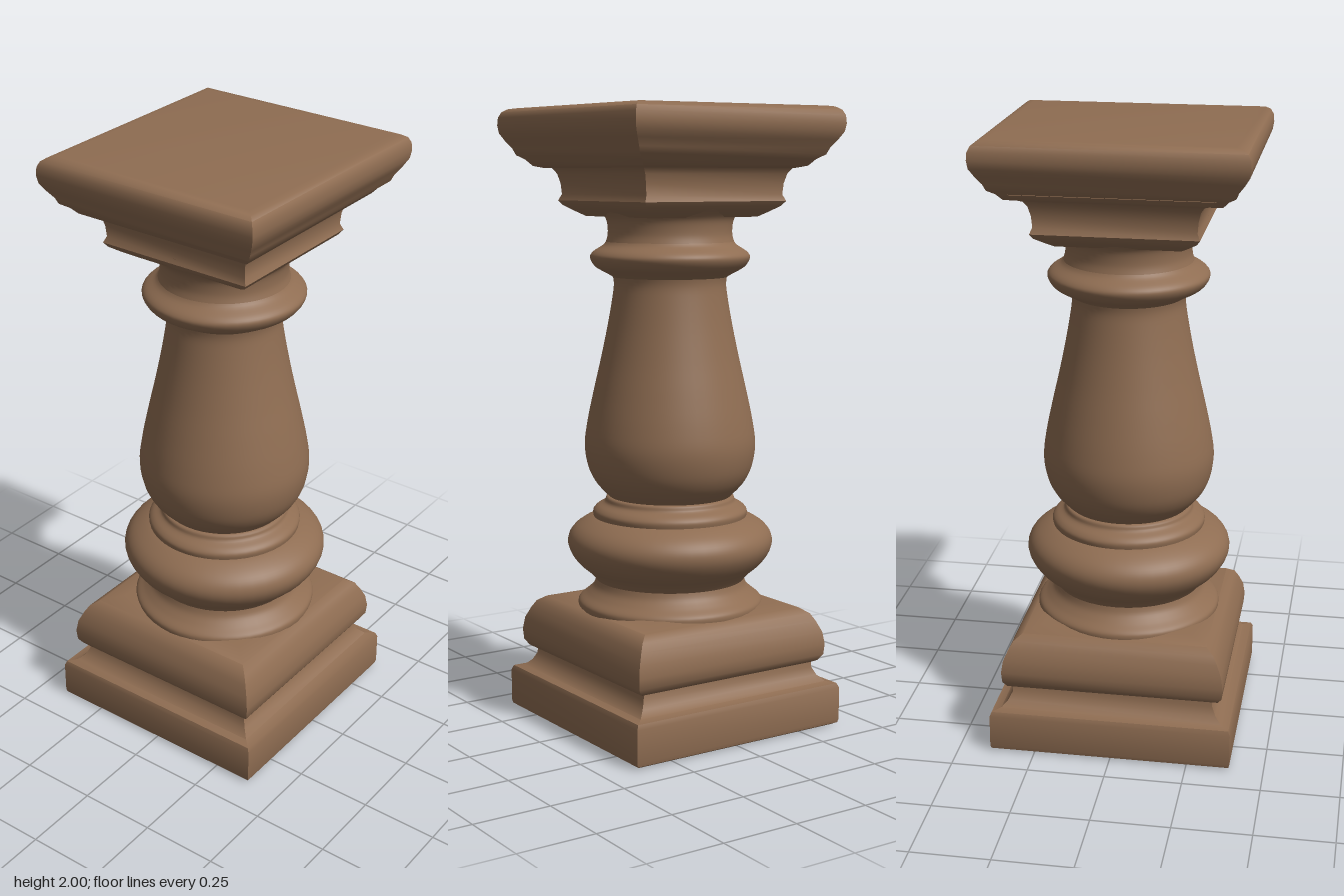
import * as THREE from 'three';
import { toCreasedNormals } from 'three/addons/utils/BufferGeometryUtils.js';

const toVectors = (pts) => pts.map(([r, y]) => new THREE.Vector2(r, y));

export function createModel() {
  const group = new THREE.Group();
  const wood = new THREE.MeshStandardMaterial({ color: 0x8f6d52 });
  wood.name = 'brown wood';

  const add = (name, geometry, x = 0, z = 0) => {
    const mesh = new THREE.Mesh(geometry, wood);
    mesh.name = name;
    mesh.position.set(x, 0, z);
    group.add(mesh);
  };

  // Square moulding: a profile of [half width, y] swept round four mitred sides
  const square = (name, profile, x = 0, z = 0, depth = 1) => {
    const ends = [[0, profile[0][1]], ...profile, [0, profile[profile.length - 1][1]]];
    const geometry = new THREE.LatheGeometry(toVectors(ends), 4, Math.PI / 4);
    geometry.scale(Math.SQRT2, 1, Math.SQRT2 * depth);
    geometry.deleteAttribute('normal');
    add(name, toCreasedNormals(geometry, 0.8), x, z);
  };

  // Turned part: a smooth curve through [radius, y] points
  const turned = (name, profile) => {
    const curve = new THREE.SplineCurve(toVectors(profile));
    add(name, new THREE.LatheGeometry(curve.getPoints(profile.length * 4), 48));
  };

  // Square foot
  square('plinth', [
    [0.375, 0], [0.39, 0.008], [0.393, 0.02], [0.393, 0.125], [0.387, 0.14],
    [0.36, 0.145], [0.34, 0.165], [0.328, 0.19], [0.326, 0.22],
  ], -0.008, -0.002);
  square('baseMoulding', [
    [0.325, 0.205], [0.345, 0.215], [0.358, 0.235], [0.361, 0.27], [0.355, 0.31],
    [0.34, 0.345], [0.326, 0.37], [0.3, 0.388], [0.24, 0.4],
  ], -0.005);

  // Turned shaft
  turned('foot', [
    [0.3, 0.375], [0.303, 0.395], [0.297, 0.41], [0.272, 0.43], [0.25, 0.455], [0.24, 0.49],
  ]);
  turned('lowerRing', [
    [0.24, 0.47], [0.262, 0.497], [0.305, 0.535], [0.332, 0.58], [0.332, 0.62],
    [0.305, 0.655], [0.25, 0.684], [0.2, 0.69],
  ]);
  turned('collar', [
    [0.25, 0.68], [0.252, 0.7], [0.24, 0.715], [0.215, 0.73], [0.205, 0.748], [0.17, 0.752],
  ]);
  turned('vase', [
    [0.19, 0.742], [0.21, 0.76], [0.245, 0.8], [0.268, 0.85], [0.278, 0.92], [0.268, 1.0],
    [0.247, 1.1], [0.224, 1.2], [0.203, 1.3], [0.187, 1.39], [0.181, 1.44], [0.186, 1.475],
  ]);
  turned('upperRing', [
    [0.18, 1.46], [0.205, 1.475], [0.24, 1.495], [0.257, 1.523], [0.248, 1.543],
    [0.215, 1.565], [0.2, 1.585],
  ]);
  turned('neck', [
    [0.208, 1.57], [0.2, 1.6], [0.203, 1.64], [0.218, 1.665], [0.245, 1.69], [0.25, 1.72],
  ]);

  // Square head
  square('capital', [
    [0.2, 1.655], [0.228, 1.672], [0.255, 1.69], [0.266, 1.705], [0.257, 1.725], [0.26, 1.76],
    [0.268, 1.79], [0.28, 1.808], [0.305, 1.818], [0.32, 1.835],
  ], -0.002, -0.002, 0.97);
  square('cap', [
    [0.28, 1.808], [0.308, 1.815], [0.325, 1.835], [0.347, 1.85], [0.355, 1.87], [0.372, 1.895],
    [0.386, 1.92], [0.39, 1.945], [0.388, 1.97], [0.38, 1.987], [0.365, 1.997], [0.345, 2],
  ], 0.009, -0.002, 1.065);

  return group;
}
